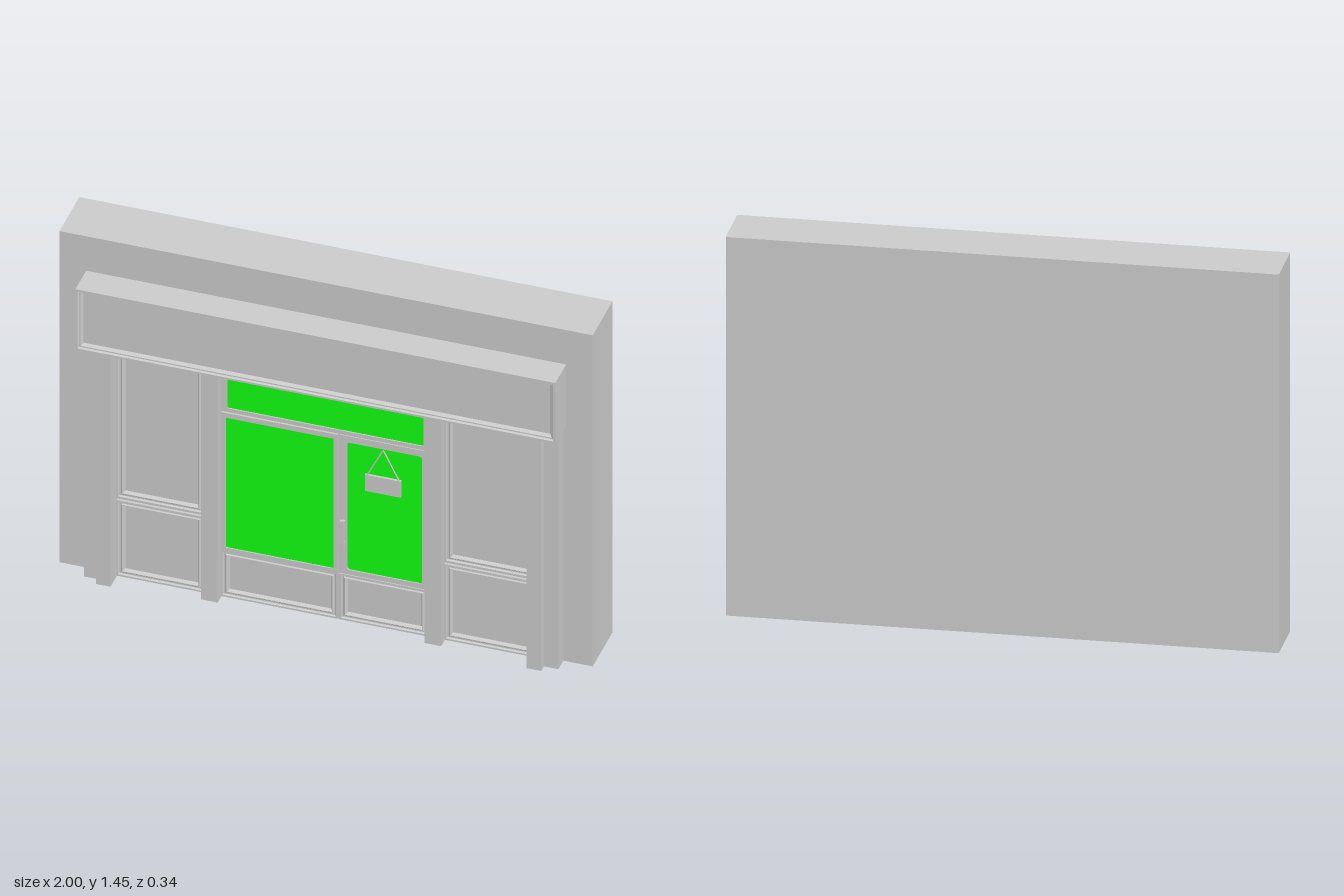
import * as THREE from 'three';

const GREY = new THREE.MeshStandardMaterial({ color: 0xcccccc, flatShading: true });
const GREEN = new THREE.MeshStandardMaterial({ color: 0x10ff10 });
const BACK = 0.05; // front face of the wall

export function createModel() {
  const model = new THREE.Group();

  const add = (name, geometry, material = GREY) => {
    const mesh = new THREE.Mesh(geometry, material);
    mesh.name = name;
    model.add(mesh);
    return mesh;
  };

  // Box given by its limits
  const box = (name, x0, x1, y0, y1, z0, z1, material) =>
    add(name, new THREE.BoxGeometry(x1 - x0, y1 - y0, z1 - z0), material)
      .position.set((x0 + x1) / 2, (y0 + y1) / 2, (z0 + z1) / 2);

  // Mitred moulding round a panel; profile is a list of [inset, z]
  const panel = (name, x0, x1, y0, y1, profile) => {
    const pos = [], index = [];
    profile.forEach(([i, z], r) => {
      pos.push(x0 + i, y0 + i, z, x1 - i, y0 + i, z, x1 - i, y1 - i, z, x0 + i, y1 - i, z);
      if (r === 0) return;
      for (let k = 0; k < 4; k++) {
        const n = (k + 1) % 4, a = (r - 1) * 4, b = r * 4;
        index.push(a + k, a + n, b + n, a + k, b + n, b + k);
      }
    });
    const c = (profile.length - 1) * 4;
    index.push(c, c + 1, c + 2, c, c + 2, c + 3);
    const g = new THREE.BufferGeometry();
    g.setAttribute('position', new THREE.Float32BufferAttribute(pos, 3));
    g.setIndex(index);
    const flat = g.toNonIndexed();
    flat.computeVertexNormals();
    return add(name, flat);
  };

  // Rectangle path, optionally with rounded corners
  const rect = (path, x0, x1, y0, y1, r = 0) => {
    path.moveTo(x0 + r, y0).lineTo(x1 - r, y0);
    if (r) path.absarc(x1 - r, y0 + r, r, -Math.PI / 2, 0);
    path.lineTo(x1, y1 - r);
    if (r) path.absarc(x1 - r, y1 - r, r, 0, Math.PI / 2);
    path.lineTo(x0 + r, y1);
    if (r) path.absarc(x0 + r, y1 - r, r, Math.PI / 2, Math.PI);
    path.lineTo(x0, y0 + r);
    if (r) path.absarc(x0 + r, y0 + r, r, Math.PI, Math.PI * 1.5);
    path.closePath();
    return path;
  };

  // Flat frame with one glazed opening
  const glazed = (name, outer, inner, z, r) => {
    const shape = rect(new THREE.Shape(), ...outer);
    shape.holes.push(rect(new THREE.Path(), ...inner, r));
    add(name + 'Frame', new THREE.ExtrudeGeometry(shape, { depth: z - BACK, bevelEnabled: false, curveSegments: 4 }))
      .position.z = BACK;
    box(name + 'Glass', ...inner.map((v, i) => v + (i % 2 ? 0.004 : -0.004)), BACK, z - 0.005, GREEN);
  };

  // Wall and fascia
  box('wall', -1, 1, 0, 1.445, -0.17, BACK);
  panel('fascia', -0.9, 0.9, 1.03, 1.295,
    [[0, BACK], [0, 0.17], [0.008, 0.17], [0.012, 0.163], [0.017, 0.163], [0.024, 0.15]]);
  box('header', -0.78, 0.78, 1.0, 1.03, BACK, 0.07);

  // Stepped pilasters, posts and side windows, mirrored
  const moulding = [[0, BACK], [0, 0.07], [0.007, 0.07], [0.01, 0.063],
    [0.015, 0.063], [0.019, 0.067], [0.022, 0.067], [0.028, 0.054]];
  for (const s of [-1, 1]) {
    const sideBox = (name, a, b, y1, z) =>
      box(name, Math.min(s * a, s * b), Math.max(s * a, s * b), 0, y1, BACK, z);
    sideBox('outerPilaster', 0.835, 0.89, 1.03, 0.105);
    sideBox('innerPilaster', 0.78, 0.835, 1.03, 0.135);
    sideBox('doorPost', 0.388, 0.45, 1.03, 0.105);
    const x0 = s > 0 ? 0.45 : -0.78, x1 = s > 0 ? 0.78 : -0.45;
    panel('windowPanel', x0, x1, 0.345, 1.0, moulding);
    panel('lowerPanel', x0, x1, 0.005, 0.335, moulding);
    box('windowSill', x0, x1, 0.335, 0.345, BACK, 0.06);
  }

  // Entrance: transom, fixed window and door leaf
  glazed('transom', [-0.388, 0.388, 0.815, 1.0], [-0.365, 0.372, 0.83, 0.98], 0.07, 0);
  glazed('shopWindow', [-0.388, 0.05, 0.205, 0.808], [-0.37, 0.035, 0.22, 0.787], 0.07, 0);
  glazed('door', [0.055, 0.388, 0.205, 0.808], [0.083, 0.365, 0.225, 0.78], 0.066, 0.012);
  box('transomBar', -0.388, 0.388, 0.808, 0.815, BACK, 0.062);
  box('mullion', 0.05, 0.055, 0, 0.808, BACK, 0.062);
  panel('windowKickPanel', -0.388, 0.05, 0.005, 0.205, moulding);
  panel('doorKickPanel', 0.055, 0.388, 0.005, 0.205, moulding);

  // Door handle on two stand-offs
  box('handleBar', 0.064, 0.08, 0.325, 0.45, 0.083, 0.093);
  for (const y of [0.335, 0.428]) box('handleMount', 0.067, 0.077, y, y + 0.012, 0.06, 0.084);

  // Hanging board on two cords
  box('hangingBoard', 0.153, 0.288, 0.59, 0.66, 0.064, 0.074);
  const hook = new THREE.Vector3(0.22, 0.778, 0.069);
  for (const x of [0.16, 0.28]) {
    const cord = new THREE.LineCurve3(new THREE.Vector3(x, 0.658, 0.069), hook);
    add('cord', new THREE.TubeGeometry(cord, 1, 0.003, 6));
  }

  return model;
}
